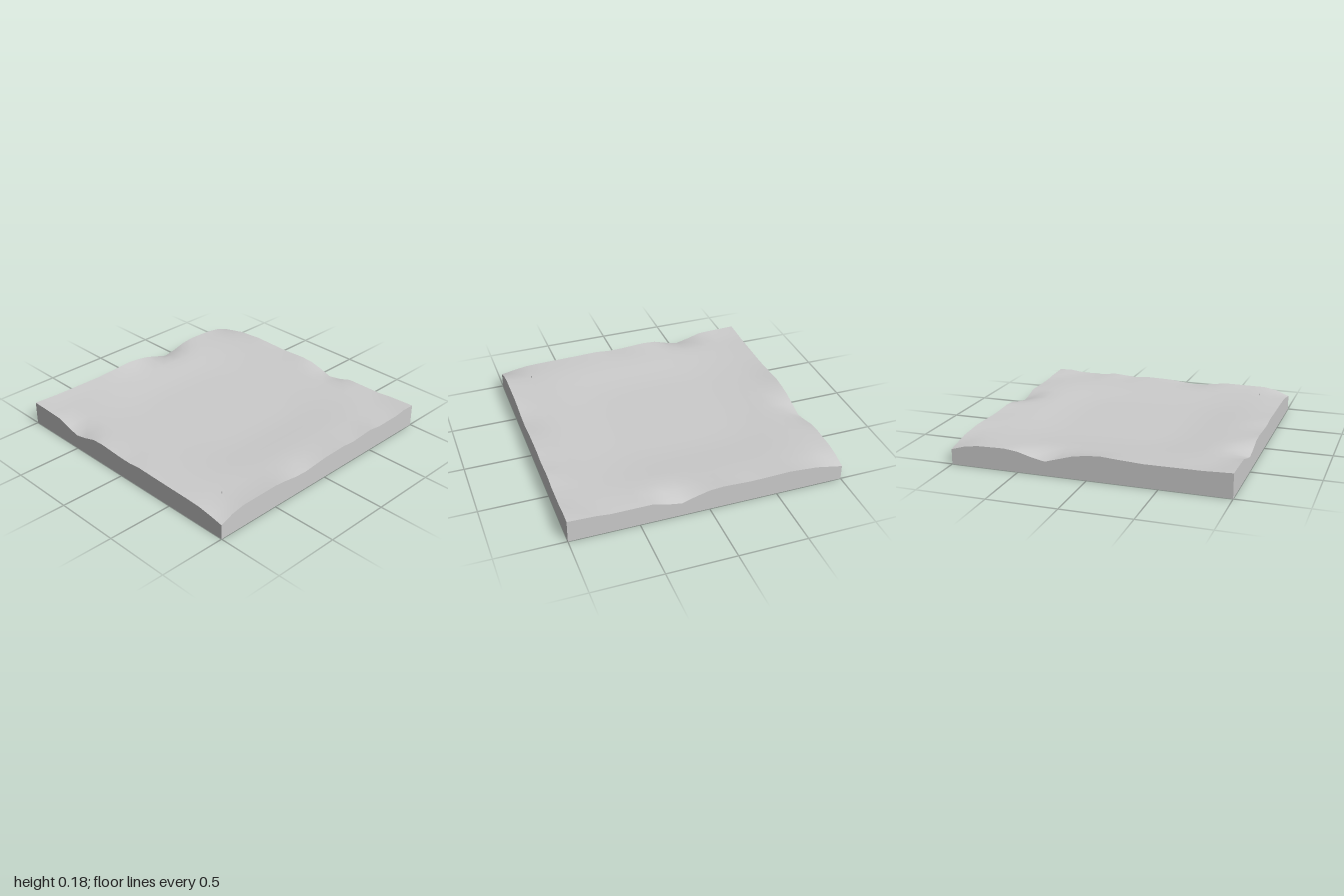
import * as THREE from 'three';

// Rim heights as [position, height] pairs along each edge
const FRONT = [[-1, 0.11], [-0.9, 0.15], [-0.8, 0.168], [-0.5, 0.17], [-0.4, 0.16], [-0.3, 0.145], [-0.2, 0.14],
  [-0.1, 0.15], [0, 0.16], [0.2, 0.165], [0.3, 0.155], [0.5, 0.17], [0.6, 0.155], [0.8, 0.157], [0.9, 0.17], [1, 0.167]];
const BACK = [[-1, 0.175], [-0.8, 0.167], [-0.4, 0.165], [-0.2, 0.176], [-0.1, 0.183], [0, 0.176], [0.1, 0.16], [0.2, 0.13],
  [0.3, 0.1], [0.4, 0.12], [0.5, 0.148], [0.6, 0.16], [0.8, 0.155], [0.9, 0.14], [1, 0.11]];
const RIGHT = [[-1, 0.11], [-0.9, 0.13], [-0.8, 0.15], [-0.6, 0.165], [-0.3, 0.158], [-0.1, 0.167], [0, 0.16], [0.1, 0.135],
  [0.2, 0.103], [0.3, 0.12], [0.4, 0.15], [0.7, 0.15], [0.8, 0.16], [1, 0.167]];
const LEFT = [[-1, 0.175], [-0.8, 0.17], [-0.7, 0.165], [-0.6, 0.135], [-0.5, 0.11], [-0.4, 0.13], [-0.3, 0.16], [-0.2, 0.165],
  [0, 0.152], [0.1, 0.15], [0.2, 0.16], [0.4, 0.155], [0.7, 0.15], [0.8, 0.145], [0.9, 0.13], [1, 0.11]];

const PLATEAU = 0.156;
const BASIN_DEPTH = 0.025;

// Offset of a rim from the plateau just inside it
function offset(rim, t) {
  for (let i = 1; i < rim.length; i++) {
    const [a, ha] = rim[i - 1], [b, hb] = rim[i];
    if (t <= b + 1e-6) return THREE.MathUtils.lerp(ha, hb, (t - a) / (b - a)) - PLATEAU;
  }
  return rim[rim.length - 1][1] - PLATEAU;
}

// The rim's unevenness dies out within a short distance
const fade = (d) => Math.pow(Math.max(0, 1 - d / 0.22), 2.4);

// Shallow rounded-square basin inside a plateau, blended into the four rims
function topHeight(x, z) {
  const radius = Math.pow(x ** 4 + (z + 0.05) ** 4, 0.25);
  const basin = BASIN_DEPTH * (1 - THREE.MathUtils.smoothstep(radius, 0.4, 0.9));
  const f = fade(1 - z), b = fade(1 + z), r = fade(1 - x), l = fade(1 + x);
  return PLATEAU - basin + f * offset(FRONT, x) + b * offset(BACK, x) + r * offset(RIGHT, z) + l * offset(LEFT, z)
    - f * r * offset(FRONT, 1) - f * l * offset(FRONT, -1)
    - b * r * offset(BACK, 1) - b * l * offset(BACK, -1);
}

export function createModel() {
  const model = new THREE.Group();
  model.name = 'groundTile';
  const stone = new THREE.MeshStandardMaterial({ color: 0xcccccc });
  stone.name = 'stone grey';

  // Slab with an uneven top: lift the upper vertices of a subdivided box
  const geometry = new THREE.BoxGeometry(2, 1, 2, 20, 1, 20);
  const p = geometry.attributes.position;
  for (let i = 0; i < p.count; i++) {
    p.setY(i, p.getY(i) > 0 ? topHeight(p.getX(i), p.getZ(i)) : 0);
  }
  geometry.computeVertexNormals();
  const slab = new THREE.Mesh(geometry, stone);
  slab.name = 'slab';
  model.add(slab);

  // Tiny nub near the front corner
  const nub = new THREE.Mesh(new THREE.CylinderGeometry(0.003, 0.004, 0.03, 6), stone);
  nub.name = 'nub';
  nub.position.set(-0.8, topHeight(-0.8, 0.8), 0.8);
  model.add(nub);

  return model;
}
